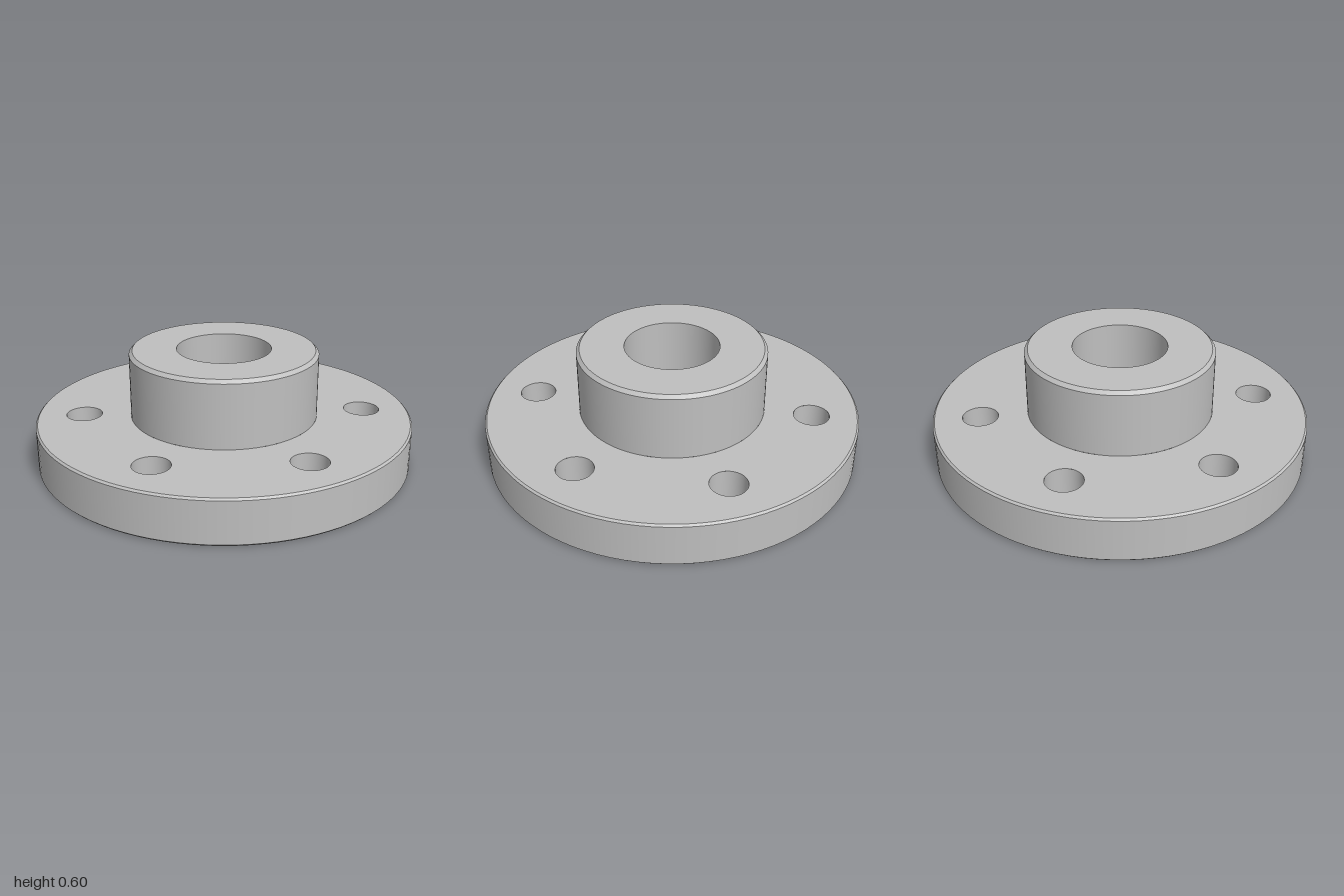
import * as THREE from 'three';
import { mergeGeometries } from 'three/addons/utils/BufferGeometryUtils.js';

const R = 1, HUB_R = 0.5, BORE_R = 0.25;
const FLANGE_H = 0.24, TOTAL_H = 0.6;
const RIM_CHAMFER = 0.01, HUB_CHAMFER = 0.018;
const BOLT_R = 0.095, BOLT_CIRCLE = 0.75, BOLTS = 6;

const boltCentres = Array.from({ length: BOLTS }, (_, i) => {
  const a = Math.PI / 2 + (i * Math.PI * 2) / BOLTS;
  return [Math.cos(a) * BOLT_CIRCLE, Math.sin(a) * BOLT_CIRCLE];
});

// Turned surface whose profile corners stay sharp: one lathe band per segment.
// Upward segments face outward, downward segments face inward.
function turned(profile, segments = 96) {
  const bands = [];
  for (let i = 0; i < profile.length - 1; i++) {
    const pair = [profile[i], profile[i + 1]].map(([r, y]) => new THREE.Vector2(r, y));
    bands.push(new THREE.LatheGeometry(pair, segments));
  }
  return mergeGeometries(bands);
}

// Flat ring pierced by the bolt holes
function drilledRing(outer, inner) {
  const shape = new THREE.Shape().absarc(0, 0, outer, 0, Math.PI * 2, false);
  const hole = (x, y, r) => shape.holes.push(new THREE.Path().absarc(x, y, r, 0, Math.PI * 2, true));
  hole(0, 0, inner);
  boltCentres.forEach(([x, y]) => hole(x, y, BOLT_R));
  return new THREE.ShapeGeometry(shape, 96);
}

export function createModel() {
  const group = new THREE.Group();
  group.name = 'hubFlange';
  const steel = new THREE.MeshStandardMaterial({ color: 0xbfbfbf });
  steel.name = 'steel grey';

  const add = (name, geometry) => {
    const mesh = new THREE.Mesh(geometry, steel);
    mesh.name = name;
    group.add(mesh);
    return mesh;
  };

  // Flange disc: chamfered rim and two drilled faces
  const c = RIM_CHAMFER;
  add('flangeRim', turned([[R - c, 0], [R, c], [R, FLANGE_H - c], [R - c, FLANGE_H]]));
  add('flangeTop', drilledRing(R - c, HUB_R).rotateX(-Math.PI / 2)).position.y = FLANGE_H;
  add('flangeBottom', drilledRing(R - c, BORE_R).rotateX(Math.PI / 2));

  // Raised hub with chamfered top edge, and the through bore
  const h = HUB_CHAMFER;
  add('hub', turned([[HUB_R, FLANGE_H], [HUB_R, TOTAL_H - h], [HUB_R - h, TOTAL_H], [BORE_R, TOTAL_H]]));
  add('bore', turned([[BORE_R, TOTAL_H], [BORE_R, 0]]));

  // Bolt hole walls
  const wall = turned([[BOLT_R, FLANGE_H], [BOLT_R, 0]]);
  boltCentres.forEach(([x, z], i) => {
    add(`boltHole${i + 1}`, wall).position.set(x, 0, z);
  });

  return group;
}
